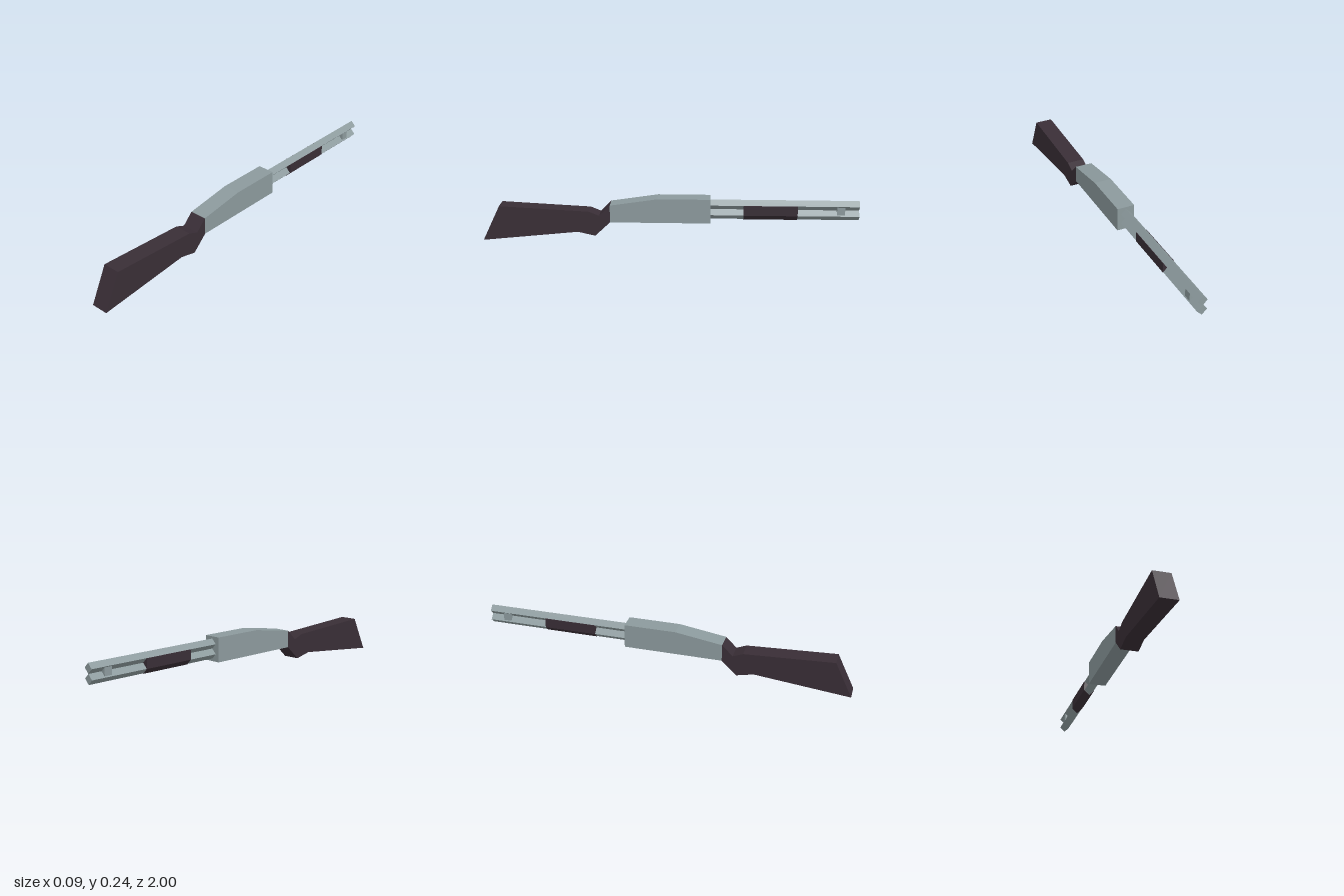
import * as THREE from 'three';

export function createModel() {
  const metal = new THREE.MeshStandardMaterial({ name: 'greyMetal', color: 0x8c9a9d });
  const wood = new THREE.MeshStandardMaterial({ name: 'darkWood', color: 0x392e36 });
  const model = new THREE.Group();

  const add = (name, geometry, material) => {
    const mesh = new THREE.Mesh(geometry, material);
    mesh.name = name;
    model.add(mesh);
    return mesh;
  };
  const extrude = (points, depth) =>
    new THREE.ExtrudeGeometry(new THREE.Shape(points.map(([a, b]) => new THREE.Vector2(a, b))),
      { depth, bevelEnabled: false });

  // Side outline given as (z, y), extruded across x
  const sidePlate = (points, width) =>
    extrude(points, width).translate(0, 0, -width / 2).rotateY(-Math.PI / 2);

  // Shoulder stock with its narrow grip
  add('stock', sidePlate([
    [1, 0], [0.908, 0.19], [0.43, 0.165], [0.375, 0.143],
    [0.318, 0.2], [0.318, 0.107], [0.398, 0.031], [0.49, 0.052],
  ], 0.094), wood);

  // Receiver with sloping rear top
  add('receiver', sidePlate([
    [0.318, 0.107], [0.318, 0.2], [0.065, 0.238], [-0.215, 0.238], [-0.215, 0.107],
  ], 0.094), metal);

  // Two diamond-section tubes
  for (const [name, y] of [['barrel', 0.2], ['magazineTube', 0.147]]) {
    const tube = new THREE.CylinderGeometry(0.0265, 0.0265, 0.785, 4).toNonIndexed();
    tube.rotateX(Math.PI / 2);
    tube.computeVertexNormals();
    add(name, tube, metal).position.set(0, y, -0.6075);
  }

  // Sliding fore-end, pointed underneath
  add('foreEnd', extrude([
    [-0.029, 0.2], [-0.029, 0.147], [0, 0.118], [0.029, 0.147], [0.029, 0.2],
  ], 0.285).translate(0, 0, -0.675), wood);

  // Clamp joining the tubes near the muzzle
  add('tubeClamp', new THREE.BoxGeometry(0.046, 0.042, 0.042), metal).position.set(0, 0.174, -0.903);

  return model;
}
